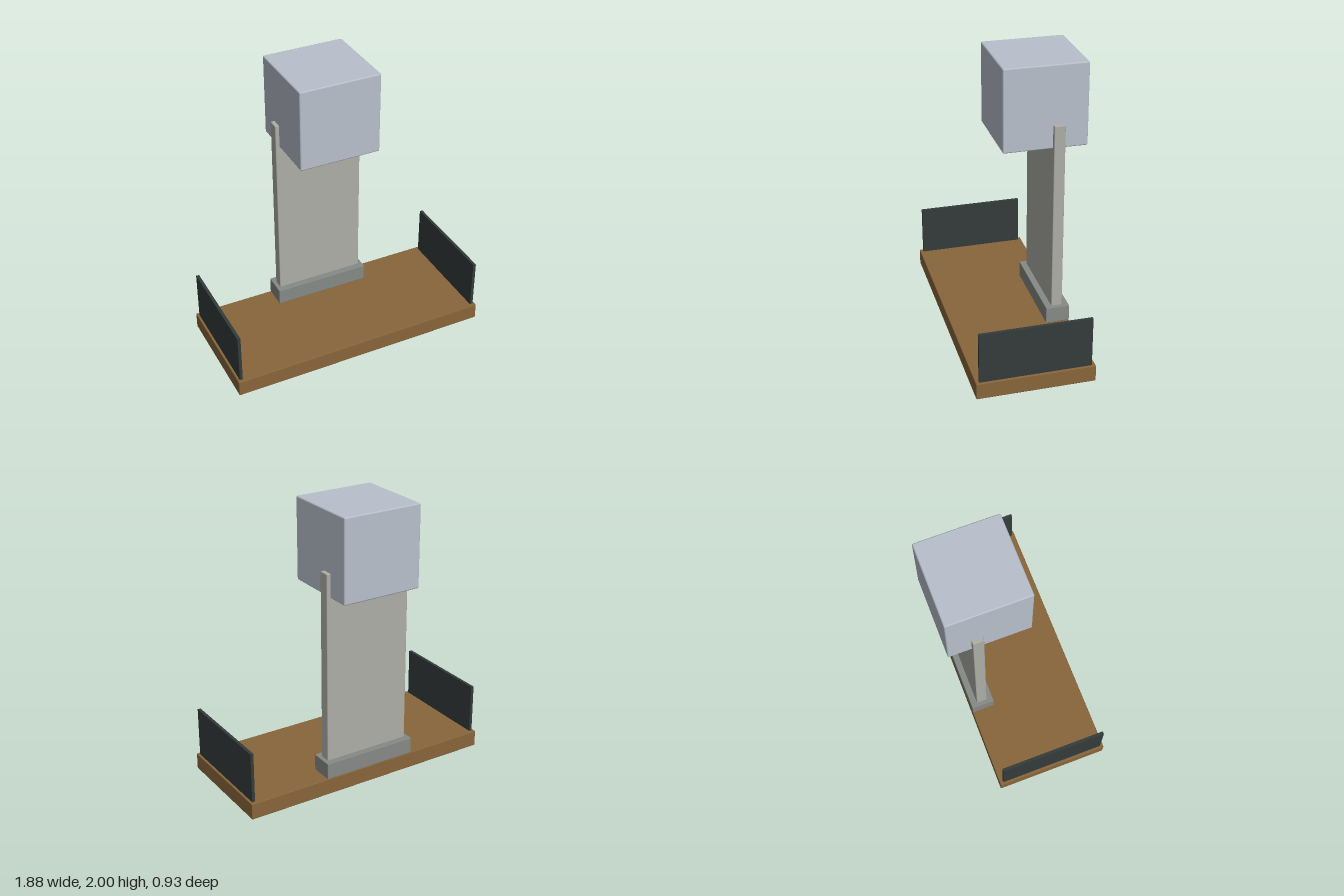
import * as THREE from 'three';
import { RoundedBoxGeometry } from 'three/addons/geometries/RoundedBoxGeometry.js';

const flat = (name, color) => {
  const material = new THREE.MeshStandardMaterial({ color });
  material.name = name;
  return material;
};

export function createModel() {
  const group = new THREE.Group();
  group.name = 'trophyStand';

  const wood = flat('brown wood', 0x88663a);
  const stone = flat('pale stone', 0xaeaea8);
  const darkStone = flat('grey stone', 0x868a86);
  const panel = flat('dark panel', 0x343b3b);
  const cubeBlue = flat('pale blue grey', 0xb8c0cc);

  // Box given by its limits on each axis, with a small bevel on the edges
  function block(name, material, [x0, x1], [y0, y1], [z0, z1], bevel) {
    const size = [x1 - x0, y1 - y0, z1 - z0];
    const geometry = bevel
      ? new RoundedBoxGeometry(...size, 1, bevel)
      : new THREE.BoxGeometry(...size);
    const mesh = new THREE.Mesh(geometry, material);
    mesh.name = name;
    mesh.position.set((x0 + x1) / 2, (y0 + y1) / 2, (z0 + z1) / 2);
    group.add(mesh);
  }

  // Wooden base board
  block('base', wood, [-0.938, 0.938], [0, 0.117], [-0.348, 0.467], 0.005);

  // Plinth and the upright slab standing in it
  block('plinth', darkStone, [-0.348, 0.348], [0.117, 0.235], [-0.348, -0.18], 0.004);
  block('uprightSlab', stone, [-0.32, 0.32], [0.2, 1.587], [-0.303, -0.225], 0.006);

  // Cube seated over the top of the slab
  block('cube', cubeBlue, [-0.292, 0.292], [1.418, 2], [-0.467, 0.115], 0.01);

  // Thin side panels along both ends of the base
  block('leftPanel', panel, [0.9, 0.922], [0.11, 0.475], [-0.322, 0.443], 0);
  block('rightPanel', panel, [-0.922, -0.9], [0.11, 0.475], [-0.322, 0.443], 0);

  return group;
}
